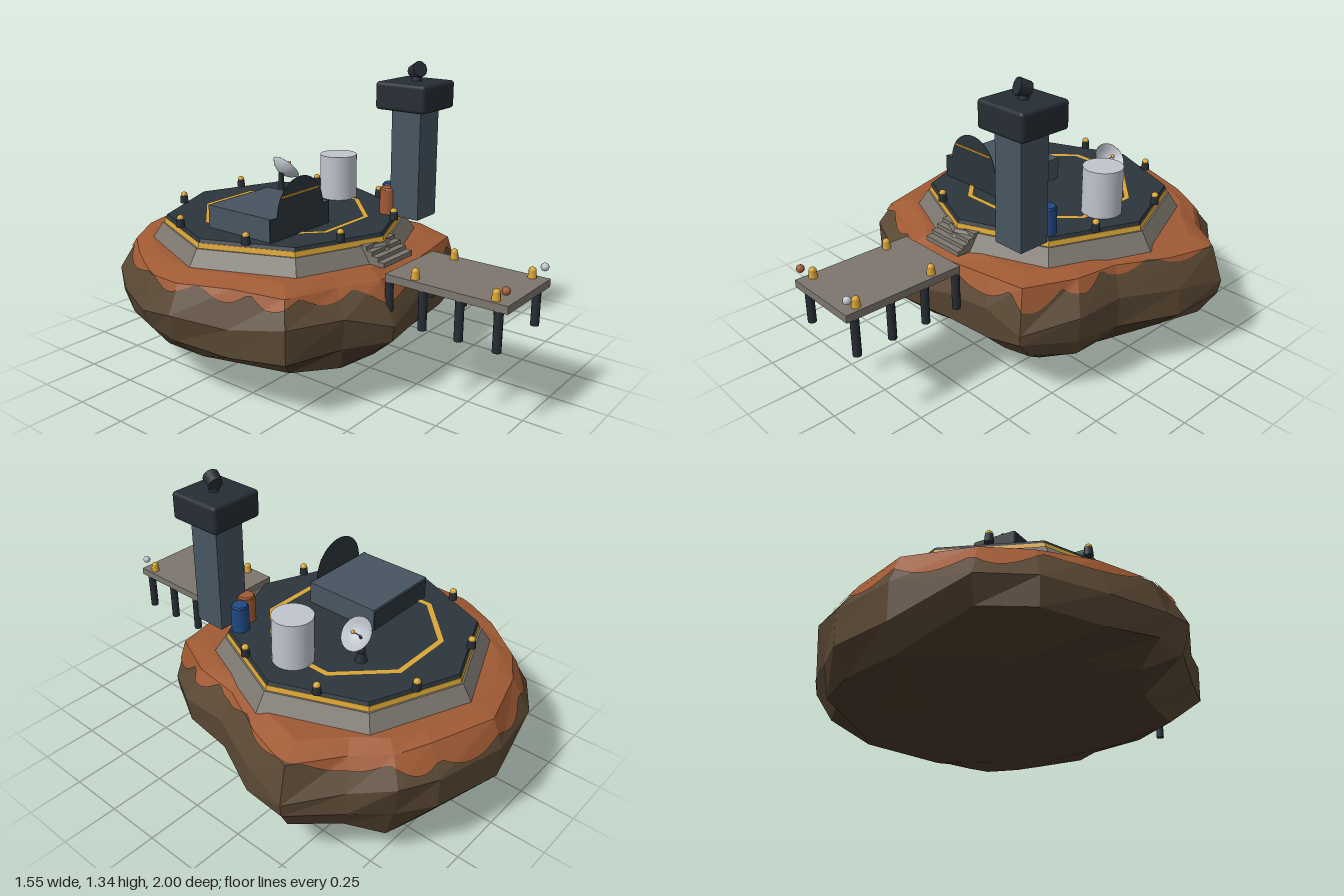
import * as THREE from 'three';
import { RoundedBoxGeometry } from 'three/addons/geometries/RoundedBoxGeometry.js';

const COLORS = {
  rock: 0x5a4834, darkRock: 0x483828, rust: 0xa05a34, concrete: 0x7c766e, deck: 0x2b353c,
  steel: 0x475561, dark: 0x262d34, yellow: 0xdaa534, white: 0xc0c5cd, blue: 0x1f4a82,
};

export function createModel() {
  const root = new THREE.Group();
  root.name = 'islandLandingPad';
  const M = {};
  for (const [name, color] of Object.entries(COLORS)) {
    M[name] = new THREE.MeshStandardMaterial({ color });
    M[name].name = name;
  }
  const add = (name, geo, mat, x = 0, y = 0, z = 0, parent = root) => {
    const m = new THREE.Mesh(geo, M[mat]);
    m.name = name;
    m.position.set(x, y, z);
    parent.add(m);
    return m;
  };
  const flat = (g) => {
    const f = g.index ? g.toNonIndexed() : g;
    f.computeVertexNormals();
    return f;
  };
  const box = (w, h, d) => new THREE.BoxGeometry(w, h, d);
  const cyl = (rt, rb, h, n = 16) => new THREE.CylinderGeometry(rt, rb, h, n);
  let seed = 7;
  const rnd = () => {
    seed = (seed * 16807) % 2147483647;
    return seed / 2147483647 - 0.5;
  };

  // Rock: outline seen from above, scaled into rings from top centre to underside
  const outline = [
    [0, -1], [0.31, -0.92], [0.47, -0.84], [0.59, -0.69], [0.775, -0.52], [0.72, -0.29], [0.61, -0.03],
    [0.6, 0.2], [0.47, 0.41], [0.3, 0.44], [0.08, 0.46], [-0.2, 0.51], [-0.39, 0.4], [-0.63, 0.3],
    [-0.69, 0.05], [-0.775, -0.19], [-0.76, -0.37], [-0.65, -0.61], [-0.5, -0.83], [-0.31, -0.95]];
  const N = outline.length;
  // scale, height, x shift, z shift, radial jitter, height jitter
  const rings = [
    [0, 0.543, 0, 0, 0, 0], [0.8, 0.543, 0, 0, 0, 0], [0.91, 0.518, 0, 0, 0.03, 0.025],
    [1, 0.375, 0, 0, 0, 0.08], [0.975, 0.27, 0, 0, 0.04, 0.05], [0.84, 0.155, 0.025, 0, 0.07, 0.05],
    [0.64, 0.072, 0.05, 0, 0.08, 0.035], [0.33, 0.015, 0.09, 0.05, 0.08, 0.014], [0, 0, 0.12, 0.11, 0, 0]];
  const cz = -0.25;
  const grid = rings.map(([s, y, dx, dz, jr, jy]) => outline.map(([x, z]) => {
    const k = s * (1 + rnd() * jr * 2);
    return new THREE.Vector3(x * k + dx, y + rnd() * jy, cz + dz + (z - cz) * k);
  }));
  const faces = { rock: [], darkRock: [] };
  const tri = (list, ...pts) => pts.forEach((p) => list.push(p.x, p.y, p.z));
  const surface = (list) => {
    const g = new THREE.BufferGeometry();
    g.setAttribute('position', new THREE.Float32BufferAttribute(list, 3));
    return flat(g);
  };
  for (let r = 0; r < rings.length - 1; r++) {
    for (let i = 0; i < N; i++) {
      const j = (i + 1) % N, [a, b] = [grid[r], grid[r + 1]];
      const pick = () => faces[r + rnd() * 2 > 3.8 ? 'darkRock' : 'rock'];
      if (r < rings.length - 2) tri(pick(), a[i], b[j], b[i]);
      else tri(pick(), a[i], a[j], b[j]);
      if (r > 0 && r < rings.length - 2) tri(pick(), a[i], a[j], b[j]);
    }
  }
  add('upperRock', surface(faces.rock), 'rock');
  add('lowerRock', surface(faces.darkRock), 'darkRock');

  // Rusty soil draped over the rock, ending in scalloped drips
  const onRock = (u, v) => {
    const i = Math.floor(u) % N, j = (i + 1) % N, r = Math.floor(v);
    const fu = u - Math.floor(u), fv = v - r;
    const [a, b] = [grid[r], grid[r + 1]];
    const p = a[i].clone();
    if (fu > fv) p.addScaledVector(a[j].clone().sub(a[i]), fu).addScaledVector(b[j].clone().sub(a[j]), fv);
    else p.addScaledVector(b[i].clone().sub(a[i]), fv).addScaledVector(b[j].clone().sub(b[i]), fu);
    return new THREE.Vector3(p.x * 1.006, p.y + 0.003, cz + (p.z - cz) * 1.006);
  };
  const dripEnd = (u) => {
    const t = (u / N) * Math.PI * 2;
    return 2.12 + 0.24 * Math.cos(2 * t) + 0.08 * Math.cos(t) + 0.1 * Math.sin(3 * t + 1)
      + 0.36 * Math.abs(Math.sin(8 * t + Math.sin(3 * t)));
  };
  const rowV = (u, k) => {
    const end = dripEnd(u);
    if (k < 5) return Math.min([0, 1, 1.33, 1.67, 2][k], end);
    return end > 2 ? 2 + (end - 2) * (k - 4) / 5 : end;
  };
  const soil = [], cols = N * 10;
  for (let c = 0; c < cols; c++) {
    const u0 = c / 10, u1 = ((c + 1) % cols) / 10;
    for (let k = 0; k < 9; k++) {
      const a = onRock(u0, rowV(u0, k)), b = onRock(u1, rowV(u1, k));
      const d = onRock(u1, rowV(u1, k + 1)), e = onRock(u0, rowV(u0, k + 1));
      tri(soil, a, b, d);
      tri(soil, a, d, e);
    }
  }
  add('rustySoil', surface(soil), 'rust');

  // Octagonal landing pad
  const px = -0.012, pz = -0.23;
  add('padFoundation', flat(cyl(0.56, 0.612, 0.08, 8)), 'concrete', px, 0.575, pz);
  add('padTrim', flat(cyl(0.547, 0.552, 0.022, 8)), 'yellow', px, 0.626, pz);
  add('padDeck', flat(cyl(0.538, 0.545, 0.015, 8)), 'deck', px, 0.6445, pz);
  const marking = new THREE.RingGeometry(0.367, 0.392, 8, 1, Math.PI / 8).rotateX(-Math.PI / 2);
  add('deckMarking', marking, 'yellow', px, 0.655, pz);
  for (let i = 0; i < 8; i++) {
    const a = (i + 0.5) * Math.PI / 4;
    const x = px + Math.sin(a) * 0.507, z = pz + Math.cos(a) * 0.507;
    add('padLightPost', cyl(0.016, 0.02, 0.038, 10), 'dark', x, 0.67, z);
    add('padLightLamp', new THREE.SphereGeometry(0.016, 12, 8), 'yellow', x, 0.688, z);
  }

  // Hangar with a half-round front sign
  add('hangarBody', box(0.38, 0.105, 0.355), 'steel', -0.222, 0.7, -0.14);
  add('hangarFront', box(0.385, 0.1, 0.006), 'deck', -0.225, 0.702, 0.039);
  add('hangarBack', box(0.37, 0.09, 0.004), 'deck', -0.222, 0.695, -0.318);
  const arch = new THREE.Shape().absarc(0, 0, 0.148, 0, Math.PI);
  add('hangarArch', new THREE.ExtrudeGeometry(arch, { depth: 0.002, bevelEnabled: false, curveSegments: 24 }),
    'deck', -0.225, 0.752, 0.04);
  add('hangarStripe', box(0.238, 0.008, 0.006), 'yellow', -0.225, 0.831, 0.045);

  // Control tower
  add('towerShaft', box(0.147, 0.49, 0.147), 'steel', 0.313, 0.892, 0.252);
  add('towerCabin', new RoundedBoxGeometry(0.252, 0.122, 0.252, 3, 0.016), 'dark', 0.314, 1.193, 0.247);
  const scanner = new THREE.Group();
  scanner.name = 'towerScanner';
  scanner.position.set(0.318, 1.25, 0.25);
  root.add(scanner);
  add('scannerPost', cyl(0.014, 0.024, 0.05, 10), 'dark', 0, 0.02, 0, scanner);
  const drum = add('scannerDrum', cyl(0.036, 0.03, 0.055, 10), 'dark', 0, 0.048, 0, scanner);
  drum.rotation.set(1.2, 0, 0.35);

  // Storage tank and barrels
  add('storageTank', cyl(0.088, 0.088, 0.21, 32), 'white', 0.344, 0.756, -0.198);
  for (const [name, mat, x, z] of [['blueBarrel', 'blue', 0.33, 0.12], ['rustBarrel', 'rust', 0.254, 0.158]]) {
    add(name, cyl(0.039, 0.039, 0.115, 20), mat, x, 0.708, z);
    add(name + 'Lid', cyl(0.032, 0.036, 0.008, 20), mat, x, 0.769, z);
  }

  // Satellite dish: closed bowl profile, tilted toward +x
  const dish = new THREE.Group();
  dish.name = 'satelliteDish';
  dish.position.set(0.174, 0.768, -0.413);
  dish.rotation.set(0, -0.15, -0.85);
  root.add(dish);
  const bowl = [[0, -0.006], [0.03, 0], [0.057, 0.015], [0.075, 0.036], [0.072, 0.038], [0.055, 0.02],
    [0.03, 0.005], [0, 0]].map(([x, y]) => new THREE.Vector2(x, y));
  add('dishBowl', new THREE.LatheGeometry(bowl, 28), 'white', 0, 0, 0, dish);
  add('dishFeedArm', cyl(0.003, 0.003, 0.06, 6), 'white', 0, 0.03, 0, dish);
  add('dishFeed', new THREE.SphereGeometry(0.009, 10, 8), 'yellow', 0, 0.062, 0, dish);
  add('dishPost', cyl(0.013, 0.016, 0.12, 10), 'dark', 0.17, 0.708, -0.415);
  add('dishFoot', cyl(0.016, 0.028, 0.04, 10), 'dark', 0.172, 0.67, -0.415);

  // Stairs down to the dock
  for (let i = 0; i < 4; i++) {
    const h = 0.022 + i * 0.018;
    add('stairStep', box(0.21, h, 0.032), 'concrete', -0.018, 0.543 + h / 2, 0.384 - i * 0.03);
  }

  // Dock with legs, lamps and corner beacons
  add('dockPlatform', box(0.36, 0.033, 0.545), 'concrete', -0.015, 0.537, 0.7275);
  for (const side of [-1, 1]) {
    for (const z of [0.465, 0.625, 0.79, 0.955])
      add('dockLeg', cyl(0.018, 0.018, 0.172, 12), 'dark', -0.015 + side * 0.161, 0.437, z);
    for (const z of [0.58, 0.935]) {
      add('dockLampBase', cyl(0.015, 0.019, 0.034, 10), 'yellow', -0.015 + side * 0.15, 0.568, z);
      add('dockLampTop', new THREE.SphereGeometry(0.016, 12, 8), 'yellow', -0.015 + side * 0.15, 0.583, z);
    }
    add(side < 0 ? 'rightBeacon' : 'leftBeacon', new THREE.SphereGeometry(0.017, 14, 10),
      side < 0 ? 'rust' : 'white', -0.015 + side * 0.163, 0.604, 0.98);
  }
  return root;
}
